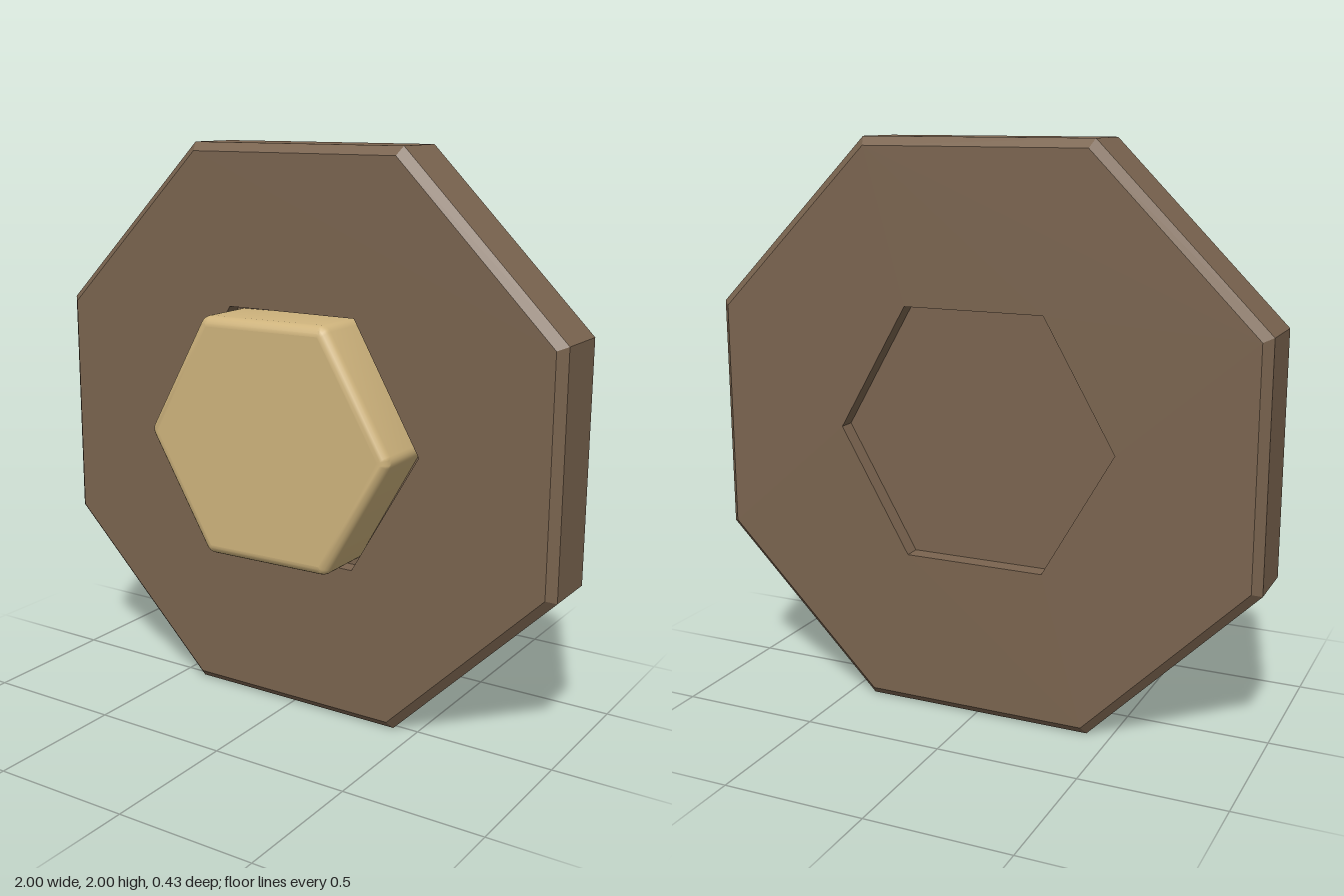
import * as THREE from 'three';
import { toCreasedNormals } from 'three/addons/utils/BufferGeometryUtils.js';

const BACK = -0.215, FRONT = 0.05, CHAMFER = 0.03, RECESS = 0.06;
const OCT = 1 / Math.cos(Math.PI / 8); // circumradius for apothem 1
const HEX = 0.507;

// corner points of a regular polygon
function polygon(radius, sides, start = 0) {
  return Array.from({ length: sides }, (_, i) => {
    const a = start + (i / sides) * Math.PI * 2;
    return new THREE.Vector2(Math.cos(a) * radius, Math.sin(a) * radius);
  });
}

// open faceted tube along z, from z0 (radius r0) to z1 (radius r1)
function band(r0, r1, z0, z1, sides, thetaStart) {
  const g = new THREE.CylinderGeometry(r1, r0, z1 - z0, sides, 1, true, thetaStart)
    .rotateX(Math.PI / 2).translate(0, 0, (z0 + z1) / 2).toNonIndexed();
  g.computeVertexNormals();
  return g;
}

// hexagon outline with softened corners
function roundedHexagon(radius, corner) {
  const shape = new THREE.Shape();
  const pts = [];
  for (let i = 0; i < 6; i++) {
    const a = (i * Math.PI) / 3;
    const d = radius - corner / Math.cos(Math.PI / 6);
    for (let j = 0; j <= 4; j++) {
      const b = a + (j / 4 - 0.5) * (Math.PI / 3);
      pts.push(new THREE.Vector2(
        Math.cos(a) * d + Math.cos(b) * corner,
        Math.sin(a) * d + Math.sin(b) * corner));
    }
  }
  return shape.setFromPoints(pts);
}

export function createModel() {
  const model = new THREE.Group();
  const brown = new THREE.MeshStandardMaterial({ color: 0x7a644f });
  const brownInside = brown.clone();
  brownInside.side = THREE.DoubleSide;
  const gold = new THREE.MeshStandardMaterial({ color: 0xcfb47d });
  brown.name = 'brown';
  brownInside.name = 'brown inside';
  gold.name = 'gold';

  const add = (parent, name, geometry, material) => {
    const mesh = new THREE.Mesh(geometry, material);
    mesh.name = name;
    parent.add(mesh);
    return mesh;
  };

  // octagonal plate: rim with chamfers on both sides
  const plate = new THREE.Group();
  plate.name = 'plate';
  plate.position.y = 1;
  model.add(plate);
  const inner = OCT * (1 - CHAMFER);
  const turn = Math.PI / 8;
  add(plate, 'rim', band(OCT, OCT, BACK + CHAMFER, FRONT - CHAMFER, 8, turn), brown);
  add(plate, 'frontChamfer', band(OCT, inner, FRONT - CHAMFER, FRONT, 8, turn), brown);
  add(plate, 'backChamfer', band(inner, OCT, BACK, BACK + CHAMFER, 8, turn), brown);

  // front and back faces, each with a hexagonal recess
  const face = new THREE.Shape(polygon(inner, 8, turn));
  face.holes.push(new THREE.Path(polygon(HEX, 6)));
  for (const [side, z, dir] of [['front', FRONT, 1], ['back', BACK, -1]]) {
    const floorZ = z - dir * RECESS;
    const flip = dir < 0 ? Math.PI : 0;
    add(plate, side + 'Face', new THREE.ShapeGeometry(face).rotateY(flip).translate(0, 0, z), brown);
    add(plate, side + 'RecessFloor',
      new THREE.CircleGeometry(HEX, 6).rotateY(flip).translate(0, 0, floorZ), brown);
    add(plate, side + 'RecessWall',
      band(HEX, HEX, Math.min(z, floorZ), Math.max(z, floorZ), 6, Math.PI / 6), brownInside);
  }

  // rounded hexagonal boss seated in the front recess
  const bevel = 0.035, bottom = -0.05, top = 0.215;
  const boss = toCreasedNormals(new THREE.ExtrudeGeometry(roundedHexagon(0.491, 0.04), {
    depth: top - bottom - 2 * bevel,
    bevelThickness: bevel, bevelSize: bevel, bevelOffset: -bevel, bevelSegments: 5,
  }), 0.6);
  // keep the end caps perfectly flat
  const caps = boss.groups[0];
  for (let i = caps.start; i < caps.start + caps.count; i++) {
    boss.attributes.normal.setXYZ(i, 0, 0, boss.attributes.position.getZ(i) > 0.05 ? 1 : -1);
  }
  const bossMesh = add(model, 'boss', boss, gold);
  bossMesh.position.set(-0.006, 1.004, bottom + bevel);
  bossMesh.rotation.z = 0.012;

  return model;
}
